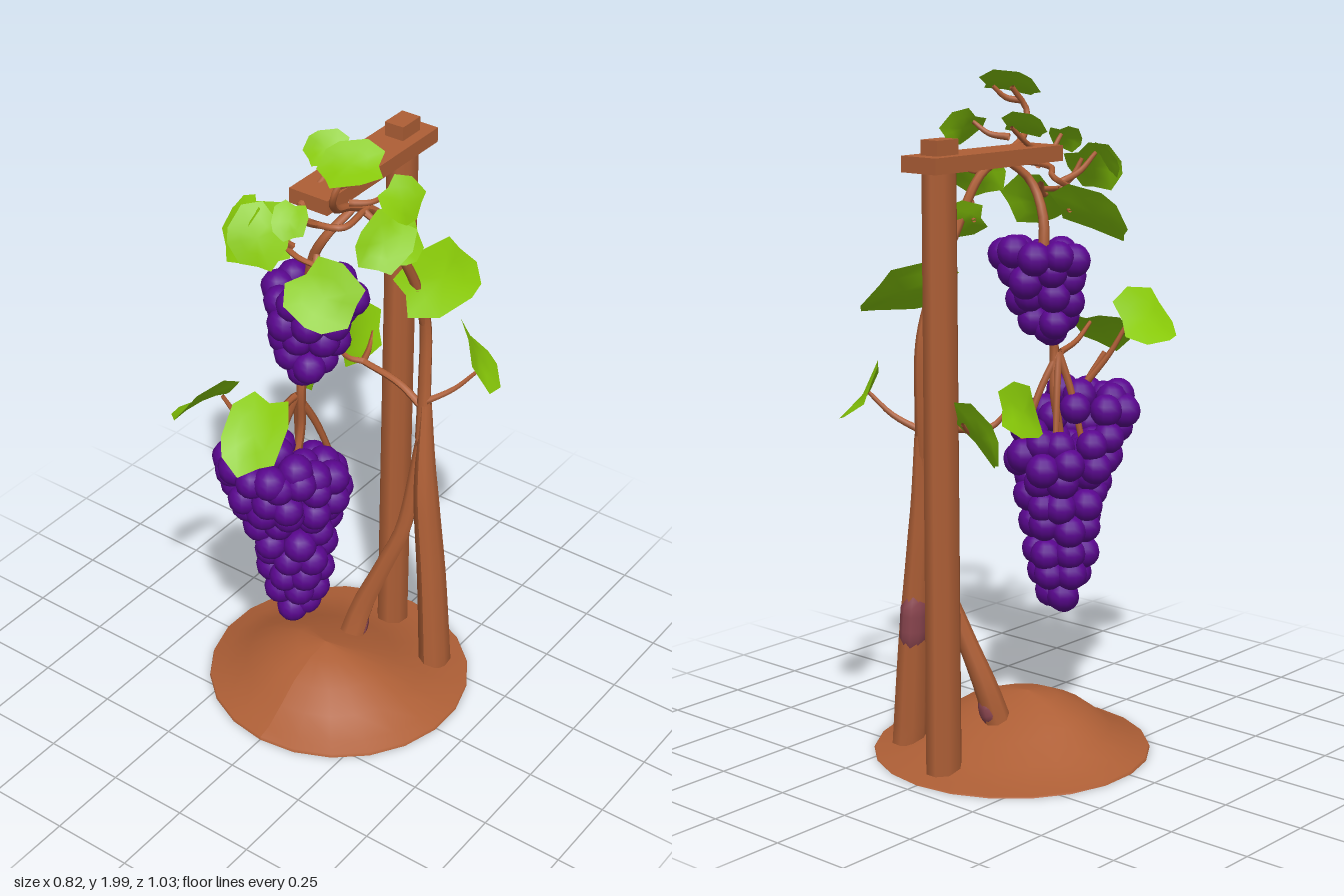
import * as THREE from 'three';
import { mergeGeometries } from 'three/addons/utils/BufferGeometryUtils.js';

const V = (a) => new THREE.Vector3(...a);

export function createModel() {
  const root = new THREE.Group();
  const wood = new THREE.MeshStandardMaterial({ color: 0xae5f36, side: THREE.DoubleSide });
  wood.name = 'brown wood';
  const bark = new THREE.MeshStandardMaterial({ color: 0x8c4650 });
  bark.name = 'mauve bark';
  const purple = new THREE.MeshStandardMaterial({ color: 0x5a068f });
  purple.name = 'grape purple';
  const green = new THREE.MeshStandardMaterial({ color: 0x88c908, side: THREE.DoubleSide });
  green.name = 'leaf green';

  const add = (name, geo, mat) => {
    const m = new THREE.Mesh(geo, mat);
    m.name = name;
    root.add(m);
    return m;
  };
  let seed = 7;
  const rnd = () => (seed = (seed * 16807) % 2147483647) / 2147483647 - 0.5;

  // Tube whose radius follows a list of radii; flat widens it along z
  const branch = (name, pts, radii, seg = 20, sides = 7, flat = 1, mat = wood) => {
    const curve = new THREE.CatmullRomCurve3(pts.map(V));
    const geo = new THREE.TubeGeometry(curve, seg, 1, sides);
    const pos = geo.attributes.position, p = new THREE.Vector3();
    for (let i = 0; i < pos.count; i++) {
      const t = Math.floor(i / (sides + 1)) / seg;
      const c = curve.getPointAt(t);
      const f = t * (radii.length - 1), k = Math.min(Math.floor(f), radii.length - 2);
      const r = THREE.MathUtils.lerp(radii[k], radii[k + 1], f - k);
      p.fromBufferAttribute(pos, i).sub(c).multiplyScalar(r);
      p.z *= flat;
      p.add(c);
      pos.setXYZ(i, p.x, p.y, p.z);
    }
    geo.computeVertexNormals();
    return add(name, geo, mat);
  };

  // Earth mound: a lathe with its peak pushed forward and its back flattened
  const mound = new THREE.LatheGeometry(
    [[0.412, 0], [0.408, 0.01], [0.36, 0.02], [0.28, 0.065], [0.2, 0.115], [0.1, 0.15], [0, 0.16]]
      .map(([x, y]) => new THREE.Vector2(x, y)), 22);
  const mp = mound.attributes.position;
  for (let i = 0; i < mp.count; i++) {
    const x = mp.getX(i), z = mp.getZ(i), r = Math.hypot(x, z);
    const nz = z + 0.02 - 0.07 * (r / 0.412);
    mp.setZ(i, nz);
    if (nz < 0) mp.setY(i, mp.getY(i) * Math.max(0.4, 1 + nz * 2));
  }
  mound.computeVertexNormals();
  add('mound', mound, wood);

  // Post, the beam on top of it and the peg through the beam
  const post = add('post', new THREE.CylinderGeometry(0.056, 0.06, 1.75, 8).rotateY(Math.PI / 8), wood);
  post.scale.x = 0.78;
  post.position.set(0, 0.887, -0.348);
  add('beam', new THREE.BoxGeometry(0.128, 0.045, 0.53), wood).position.set(0, 1.765, -0.165);
  add('peg', new THREE.BoxGeometry(0.062, 0.06, 0.085), wood).position.set(0, 1.8, -0.345);

  // Vine trunk, its side root and the climbing shoot
  branch('vineTrunk', [[0.235, 0.02, -0.247], [0.212, 0.35, -0.247], [0.18, 0.7, -0.245], [0.16, 0.97, -0.265]],
    [0.047, 0.042, 0.036, 0.016], 16, 9, 1.28);
  branch('vineRoot', [[0, 0.085, -0.11], [0.02, 0.2, -0.14], [0.08, 0.38, -0.18], [0.125, 0.52, -0.21], [0.16, 0.85, -0.25]],
    [0.042, 0.029, 0.024, 0.02], 16, 8);
  branch('vineShoot', [[0.16, 0.85, -0.25], [0.15, 1.05, -0.27], [0.145, 1.25, -0.27], [0.14, 1.4, -0.22],
    [0.13, 1.55, -0.14], [0.11, 1.7, -0.06], [0.1, 1.76, 0.05], [0.12, 1.8, 0.14], [0.15, 1.87, 0.19], [0.165, 1.94, 0.14]],
  [0.022, 0.019, 0.015, 0.013, 0.008], 48);
  // Mauve bark patches, set just proud of the back of the trunk and root
  branch('trunkBarkPatch', [[0.213, 0.26, -0.256], [0.201, 0.4, -0.257], [0.19, 0.54, -0.255]],
    [0.012, 0.037, 0.037, 0.012], 12, 10, 1.28, bark);
  branch('rootBarkPatch', [[0.007, 0.09, -0.121], [0.014, 0.14, -0.134], [0.024, 0.19, -0.147]],
    [0.022, 0.036, 0.032, 0.012], 10, 10, 1, bark);

  branch('hangingShoot', [[0.1, 1.75, 0.02], [0.06, 1.68, 0.1], [0.01, 1.58, 0.1], [0, 1.4, 0.09], [0.01, 1.2, 0.15],
    [0, 1.05, 0.14], [0, 0.9, 0.17], [0, 0.5, 0.165]], [0.011, 0.017, 0.014, 0.012, 0.008], 40);
  branch('frontTwig', [[0.11, 1.73, -0.02], [0.12, 1.73, 0.11], [0, 1.72, 0.12], [-0.06, 1.7, 0.06], [-0.06, 1.66, 0.14],
    [0.02, 1.65, 0.19], [0.12, 1.64, 0.19]], [0.01, 0.008], 36);
  for (const [x, z] of [[-0.06, 0.2], [0.05, 0.05], [-0.04, 0.1]])
    branch('clusterStem', [[0, 1.17, 0.16], [x * 0.5, 1.06, (z + 0.16) / 2], [x, 0.9, z]], [0.012, 0.009], 8, 6);

  // Grapes set in rings: [y, radius x, radius z, centre z, count]
  const cluster = (name, rings) => {
    const parts = [];
    rings.forEach(([y, rx, rz, zc, n], j) => {
      for (let i = 0; i < n; i++) {
        const a = (i + (j % 2) * 0.5) / n * Math.PI * 2 + rnd() * 0.25;
        const k = 1 + rnd() * 0.14;
        parts.push(new THREE.SphereGeometry(0.049 + rnd() * 0.006, 12, 8)
          .translate(Math.sin(a) * rx * k, y + rnd() * 0.04, zc + Math.cos(a) * rz * k));
      }
    });
    add(name, mergeGeometries(parts), purple);
  };
  cluster('lowerGrapes', [
    [0.427, 0.026, 0.02, 0.163, 3], [0.5, 0.055, 0.05, 0.165, 5], [0.575, 0.068, 0.065, 0.17, 6],
    [0.65, 0.08, 0.08, 0.175, 7], [0.725, 0.088, 0.1, 0.18, 8], [0.785, 0.085, 0.11, 0.185, 7],
    [0.85, 0.125, 0.145, 0.185, 11], [0.92, 0.128, 0.145, 0.225, 11], [0.985, 0.13, 0.1, 0.28, 9],
    [1.005, 0.1, 0.06, 0.32, 5], [0.88, 0.06, 0.08, 0.2, 5]]);
  cluster('upperGrapes', [
    [1.235, 0.015, 0.01, 0.12, 2], [1.285, 0.052, 0.035, 0.115, 4], [1.35, 0.072, 0.06, 0.1, 6],
    [1.41, 0.09, 0.08, 0.09, 7], [1.465, 0.112, 0.088, 0.08, 9]]);

  // Broad angular leaf outline with its stalk end at y = -0.5 and its tip at y = 0.5
  const outline = [[0, -0.42], [0.3, -0.5], [0.5, -0.25], [0.44, 0.16], [0.32, 0.36], [0, 0.5],
    [-0.28, 0.34], [-0.5, 0.26], [-0.48, -0.2], [-0.28, -0.5]];
  const leaf = (centre, normal, tip, w, l, stalk) => {
    const n = V(normal).normalize();
    const up = V(tip).addScaledVector(n, -V(tip).dot(n)).normalize();
    const side = new THREE.Vector3().crossVectors(up, n);
    const verts = [], index = [], N = outline.length;
    const put = (x, y) => {
      // Side halves rise from the midrib and the tip droops
      const bend = 0.18 * Math.abs(x) * w - 0.3 * y * y * l + 0.15 * x * y * l;
      verts.push(...V(centre).addScaledVector(side, x * w).addScaledVector(up, y * l).addScaledVector(n, bend).toArray());
    };
    put(0, 0);
    for (const s of [0.55, 1]) for (const [x, y] of outline) put(x * s, y * s);
    for (let i = 0; i < N; i++) {
      const a = 1 + i, b = 1 + (i + 1) % N;
      index.push(0, a, b, a, a + N, b + N, a, b + N, b);
    }
    const geo = new THREE.BufferGeometry();
    geo.setAttribute('position', new THREE.Float32BufferAttribute(verts, 3));
    geo.setIndex(index);
    geo.computeVertexNormals();
    add('leaf', geo, green);
    // Stalk runs from the vine to the base of the leaf
    const base = V(centre).addScaledVector(up, -0.3 * l).addScaledVector(n, -0.012);
    const mid = V(stalk).lerp(base, 0.55);
    mid.y -= 0.015;
    branch('leafStalk', [stalk, mid.toArray(), base.toArray()], [0.011, 0.006], 8, 6);
  };

  // Leaves by the trunk and post
  leaf([0.245, 1.1, -0.41], [0.65, 0.55, -0.5], [-0.55, 0.1, -0.8], 0.2, 0.24, [0.16, 0.98, -0.26]);
  leaf([0.175, 1.39, -0.31], [0.75, 0.65, 0.1], [0.1, -0.1, -1], 0.2, 0.33, [0.145, 1.25, -0.26]);
  leaf([-0.14, 1.06, -0.16], [-0.9, 0.4, 0.25], [-0.1, -0.2, 1], 0.17, 0.22, [-0.08, 1.02, -0.28]);
  leaf([-0.175, 1.03, -0.38], [-0.3, 0.4, 0.85], [-0.8, -0.5, 0], 0.19, 0.21, [-0.08, 1.02, -0.28]);
  branch('sideShoot', [[0.16, 0.95, -0.26], [0.06, 1.0, -0.27], [-0.08, 1.02, -0.28]], [0.013, 0.01], 10);

  // Leaves above the lower bunch
  leaf([0.05, 1.2, 0.42], [0.2, 0.8, 0.5], [0.2, -0.3, 1], 0.18, 0.25, [0, 1.17, 0.17]);
  leaf([-0.12, 1.25, 0.43], [-0.65, 0.7, -0.15], [-0.3, -0.1, 0.9], 0.22, 0.2, [0, 1.06, 0.29]);
  branch('bunchShoot', [[0, 1.0, 0.25], [0, 1.06, 0.29], [-0.03, 1.15, 0.34]], [0.011, 0.008], 8);

  // Crown leaves
  leaf([0.165, 1.947, 0.14], [0.15, 0.85, 0.45], [-0.8, 0, 0.5], 0.15, 0.18, [0.16, 1.9, 0.18]);
  leaf([0.26, 1.82, 0.03], [0.8, 0.55, 0.2], [0.5, -0.7, -0.3], 0.14, 0.13, [0.13, 1.8, 0.09]);
  leaf([0.165, 1.595, 0.25], [0.35, 0.6, 0.7], [0.8, -0.3, 0.3], 0.2, 0.2, [0.08, 1.66, 0.17]);
  leaf([-0.19, 1.6, 0.09], [-0.05, 0.6, 0.75], [-1, -0.2, 0], 0.19, 0.26, [-0.06, 1.67, 0.1]);
  leaf([-0.05, 1.71, 0.26], [0.25, 0.55, 0.75], [-0.3, -0.7, 0.5], 0.18, 0.17, [0, 1.66, 0.17]);
  leaf([-0.05, 1.85, -0.045], [0.2, 0.75, 0.6], [-0.8, -0.3, 0.2], 0.11, 0.13, [-0.02, 1.75, 0.11]);
  leaf([0.13, 1.57, -0.14], [0.7, 0.55, 0.4], [0.2, -0.5, -0.8], 0.14, 0.17, [0.12, 1.63, -0.09]);
  leaf([0.215, 1.69, 0.05], [0.7, 0.55, 0.45], [0.1, -0.2, 1], 0.15, 0.19, [0.11, 1.73, 0.0]);
  leaf([-0.12, 1.74, 0.23], [-0.3, 0.5, 0.7], [-0.5, -0.4, 0.5], 0.1, 0.12, [-0.05, 1.68, 0.11]);
  leaf([0.05, 1.79, 0.25], [0.3, 0.65, 0.6], [0.2, -0.4, 0.8], 0.1, 0.11, [0.05, 1.72, 0.12]);

  return root;
}
